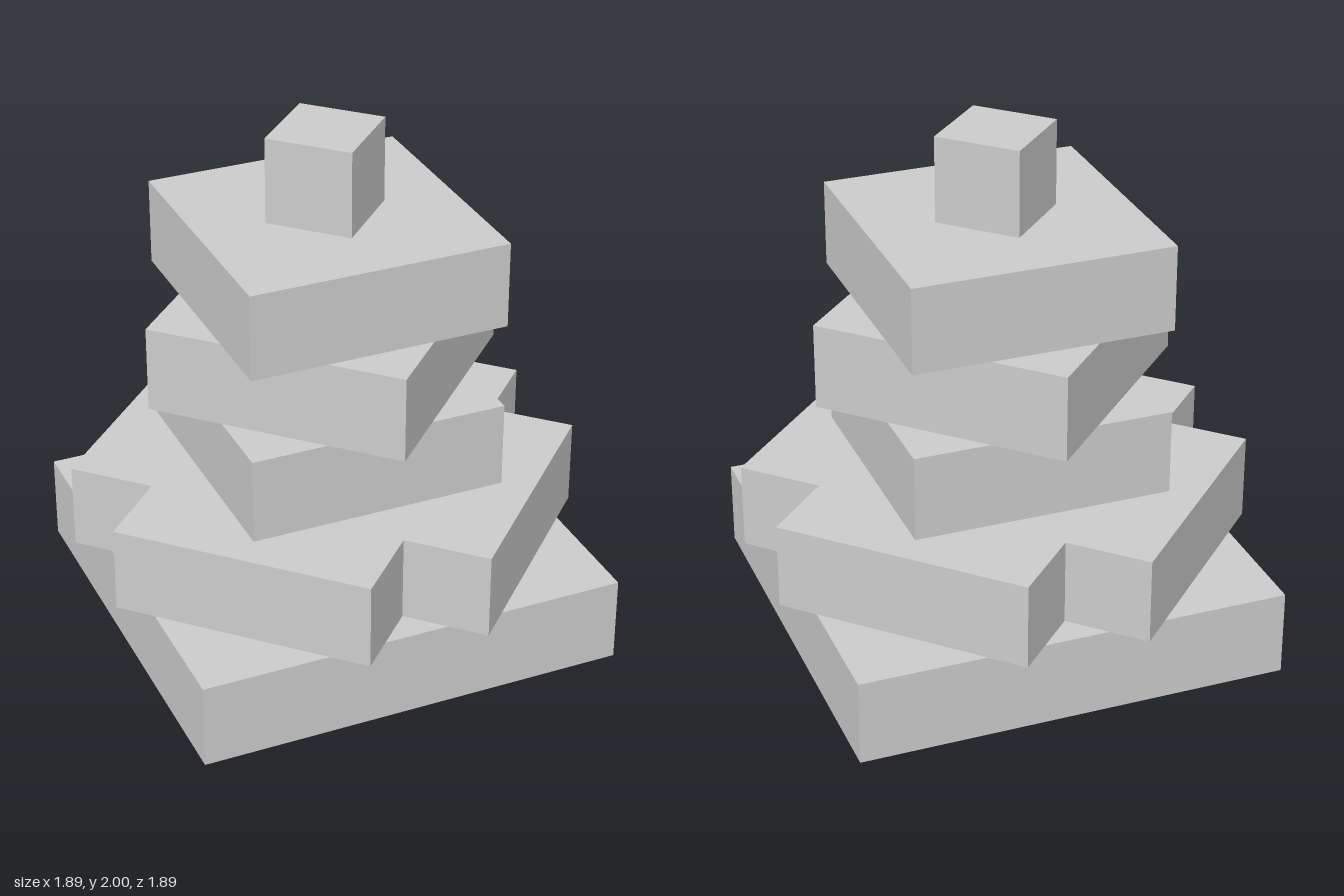
import * as THREE from 'three';

const H = 1 / 3; // height of every tier
const material = new THREE.MeshStandardMaterial({ color: 0xcccccc, flatShading: true });

// Plus-shaped slab, centred on the origin
function crossSlab(reach, half) {
  const shape = new THREE.Shape();
  for (let i = 0; i < 4; i++) {
    const c = Math.round(Math.cos(i * Math.PI / 2)), s = Math.round(Math.sin(i * Math.PI / 2));
    for (const [x, y] of [[reach, -half], [reach, half], [half, half]]) {
      const px = x * c - y * s, py = x * s + y * c;
      if (shape.curves.length === 0 && shape.currentPoint.lengthSq() === 0) shape.moveTo(px, py);
      else shape.lineTo(px, py);
    }
  }
  shape.closePath();
  return new THREE.ExtrudeGeometry(shape, { depth: H, bevelEnabled: false })
    .translate(0, 0, -H / 2)
    .rotateX(-Math.PI / 2);
}

const squareSlab = (size) => new THREE.BoxGeometry(size, H, size);

export function createModel() {
  const group = new THREE.Group();
  group.name = 'steppedTower';

  // Tiers from bottom to top; every second one is turned by 45 degrees
  const tiers = [
    ['base', squareSlab(5 / 3)],
    ['crossTier', crossSlab(5 / 6, 0.5)],
    ['lowerSquareTier', squareSlab(1)],
    ['diamondTier', squareSlab(1)],
    ['upperSquareTier', squareSlab(1)],
    ['topCube', squareSlab(1 / 3)],
  ];
  tiers.forEach(([name, geometry], i) => {
    const mesh = new THREE.Mesh(geometry, material);
    mesh.name = name;
    mesh.position.y = (i + 0.5) * H;
    mesh.rotation.y = (i % 2) * Math.PI / 4;
    group.add(mesh);
  });
  return group;
}
